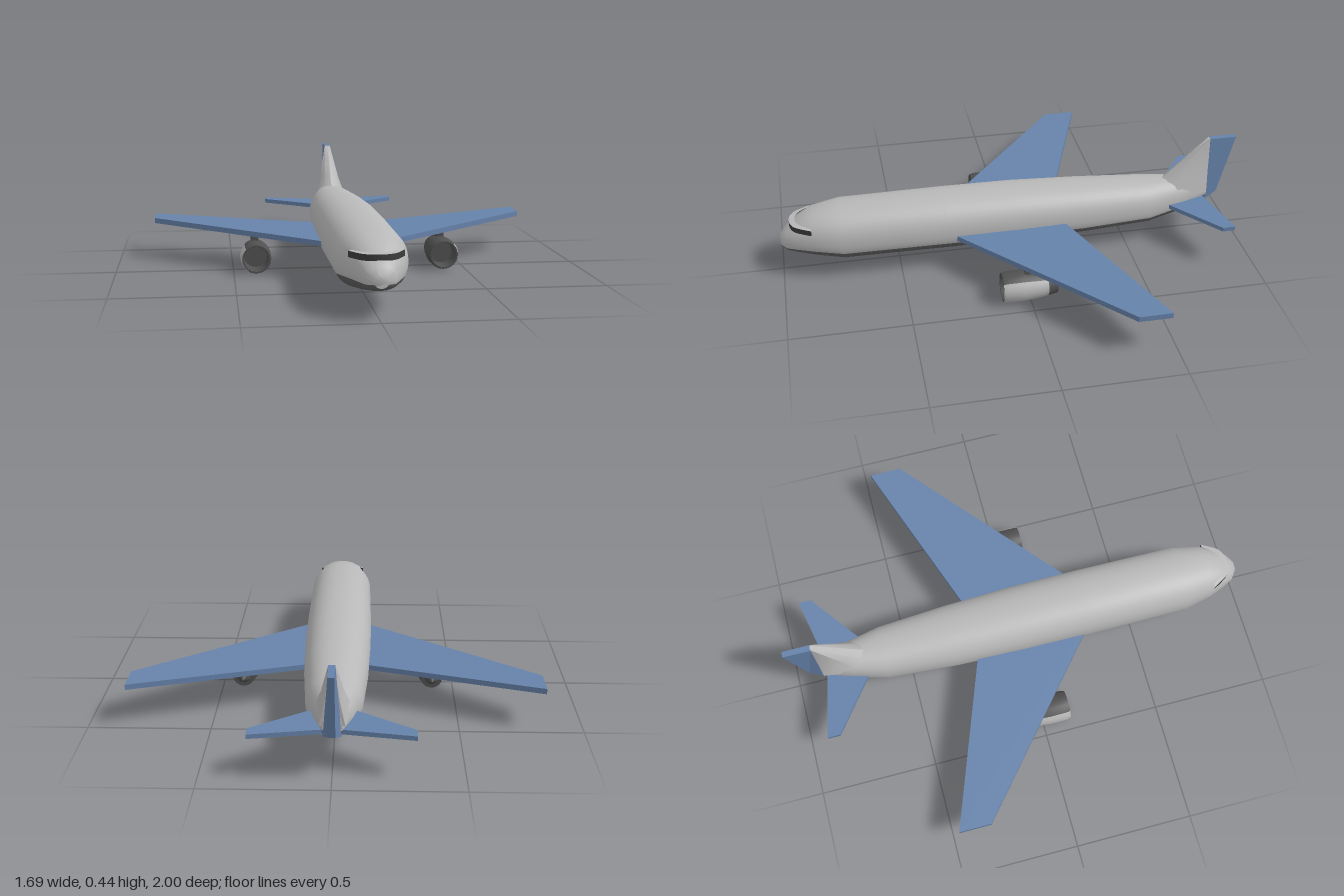
import * as THREE from 'three';
import { toCreasedNormals } from 'three/addons/utils/BufferGeometryUtils.js';

const mat = (name, color, side = THREE.FrontSide) => {
  const m = new THREE.MeshStandardMaterial({ color, side });
  m.name = name;
  return m;
};

// Skin a list of closed rings, counter-clockwise seen along the direction of travel, with flat ends.
// Ring edges under.from to under.to take the second material.
function loft(rings, crease, under) {
  const n = rings[0].length, pos = rings.flat(2), idx = [];
  for (let j = 0; j < n; j++) {
    for (let i = 0; i < rings.length - 1; i++) {
      const a = i * n + j, b = i * n + (j + 1) % n;
      idx.push(a, a + n, b, b, a + n, b + n);
    }
  }
  const last = (rings.length - 1) * n;
  for (let j = 1; j < n - 1; j++) {
    idx.push(0, j, j + 1, last, last + j + 1, last + j);
  }
  const raw = new THREE.BufferGeometry();
  raw.setAttribute('position', new THREE.Float32BufferAttribute(pos, 3));
  raw.setIndex(idx);
  const g = toCreasedNormals(raw, crease);
  if (under) {
    const strip = 6 * (rings.length - 1), start = under.from * strip, end = under.to * strip;
    if (start > 0) g.addGroup(0, start, 0);
    g.addGroup(start, end - start, 1);
    g.addGroup(end, idx.length - end, 0);
  }
  return g;
}

// Fuselage stations: z, half width, top, bottom
const STATIONS = [
  [1, 0.025, 0.178, 0.128], [0.975, 0.058, 0.205, 0.115], [0.93, 0.083, 0.246, 0.104],
  [0.86, 0.113, 0.283, 0.091], [0.74, 0.14, 0.303, 0.07], [0.3, 0.144, 0.305, 0.068],
  [0, 0.142, 0.303, 0.068], [-0.3, 0.133, 0.29, 0.07], [-0.6, 0.113, 0.272, 0.082],
  [-0.75, 0.076, 0.264, 0.108], [-0.875, 0.036, 0.255, 0.153],
];
const POWER = 2.3;
const midY = (top, bottom) => bottom + 0.42 * (top - bottom);

function fuselageRing([z, w, top, bottom]) {
  const mid = midY(top, bottom);
  const bend = (v) => Math.sign(v) * Math.abs(v) ** (2 / POWER);
  return Array.from({ length: 40 }, (_, j) => {
    const a = (j / 40) * Math.PI * 2, s = bend(Math.sin(a));
    return [w * bend(Math.cos(a)), mid + s * (s > 0 ? top - mid : mid - bottom), z];
  });
}

// Half width of the fuselage at a height and a length position
function halfWidth(y, z) {
  const i = STATIONS.findIndex((s) => s[0] <= z);
  const a = STATIONS[i - 1], b = STATIONS[i], t = (a[0] - z) / (a[0] - b[0]);
  const [, w, top, bottom] = a.map((v, k) => v + (b[k] - v) * t);
  const mid = midY(top, bottom);
  return w * Math.max(0, 1 - ((y - mid) / (top - mid)) ** POWER) ** (1 / POWER);
}

// Band round the nose; each row follows the body outline at one height and sits at another
function noseBand(rows) {
  const cols = 24, back = 0.865, pos = [], idx = [];
  for (const [outlineY, y] of rows) {
    let front = back;
    while (front < 0.995 && halfWidth(outlineY, front) > 0.002) front += 0.0005;
    for (let c = 0; c <= cols; c++) {
      const a = (c / cols) * Math.PI - Math.PI / 2;
      const z = back + (front - back) * Math.cos(a);
      const x = Math.abs(a) < 0.01 ? 0 : Math.sign(a) * (halfWidth(outlineY, z) + 0.003);
      pos.push(x, y, z + 0.003);
    }
  }
  for (let c = 0; c < cols; c++) {
    const b = c + cols + 1;
    idx.push(c, c + 1, b, b, c + 1, b + 1);
  }
  const g = new THREE.BufferGeometry();
  g.setAttribute('position', new THREE.Float32BufferAttribute(pos, 3));
  g.setIndex(idx);
  g.computeVertexNormals();
  return g;
}

// Swept plate between two stations: { x, lead, trail, top, bottom }
function plate(root, tip, side) {
  const ring = ({ x, lead, trail, top, bottom }) => [
    [side * x, bottom, trail], [side * x, bottom, lead], [side * x, top, lead], [side * x, top, trail],
  ];
  return loft(side > 0 ? [ring(root), ring(tip)] : [ring(tip), ring(root)], 0.3, { from: 0, to: 1 });
}

// Teardrop fin section: height, leading edge, trailing edge, half thickness
function finRing([y, lead, trail, w]) {
  const c = lead - trail;
  const half = [[0.6, 0.12], [1, 0.38], [0.65, 1]];
  const at = (s) => ([k, t]) => [s * k * w, y, lead - t * c];
  return [[0, y, lead], ...half.map(at(-1)), ...half.map(at(1)).reverse()];
}

// Turned engine shell along z; angles in degrees, 90 is +x and 180 is up
function turned(points, from = 0, sweep = 360) {
  const rad = THREE.MathUtils.degToRad;
  const profile = points.map(([r, z]) => new THREE.Vector2(r, z));
  const g = new THREE.LatheGeometry(profile, Math.ceil(sweep / 15), rad(from), rad(sweep));
  return toCreasedNormals(g.rotateX(Math.PI / 2), 0.7);
}

export function createModel() {
  const grey = mat('bodyGrey', 0xb8b8b8);
  const belly = mat('bellyGrey', 0x606060);
  const blue = mat('wingBlue', 0x6682aa);
  const navy = mat('undersideNavy', 0x334051);
  const dark = mat('engineDark', 0x505050);
  const glass = mat('windowDark', 0x3c3c3c, THREE.DoubleSide);
  const model = new THREE.Group();
  model.name = 'airliner';
  const add = (name, geometry, material, parent = model) => {
    const mesh = new THREE.Mesh(geometry, material);
    mesh.name = name;
    parent.add(mesh);
    return mesh;
  };

  // Body with darker belly, cockpit glass and the brow above it
  add('fuselage', loft(STATIONS.map(fuselageRing), 0.8, { from: 22, to: 38 }), [grey, belly]);
  add('windscreen', noseBand([[0.224, 0.219], [0.224, 0.243]]), glass);
  add('windscreenBrow', noseBand([[0.224, 0.243], [0.246, 0.246]]), grey);

  // Tail fin with rudder behind it
  add('tailFin', loft([
    [0.2, -0.6, -0.872, 0.075], [0.3, -0.716, -0.877, 0.044], [0.445, -0.876, -0.885, 0.013],
  ].map(finRing), 0.8), grey);
  add('rudder', loft([
    [[-0.035, 0.155, -0.87], [-0.014, 0.18, -0.93], [0.014, 0.18, -0.93], [0.035, 0.155, -0.87]],
    [[-0.013, 0.447, -0.884], [-0.012, 0.447, -1], [0.012, 0.447, -1], [0.013, 0.447, -0.884]],
  ], 0.3), blue);

  // Engine pieces: tail cone, cowl side, lip with hollow intake
  const tail = turned([[0, -0.16], [0.03, -0.11], [0.046, -0.11], [0.0535, -0.07]]);
  const cowl = [[0.0535, -0.07], [0.059, -0.04], [0.066, 0.03], [0.065, 0.1], [0.06, 0.118]];
  const intake = turned([[0.06, 0.118], [0.054, 0.118], [0.05, 0.1], [0.05, 0.03], [0, 0.03]]);

  for (const [label, side] of [['left', 1], ['right', -1]]) {
    add(label + 'Wing', plate(
      { x: 0, lead: 0.384, trail: -0.165, top: 0.165, bottom: 0.143 },
      { x: 0.845, lead: -0.335, trail: -0.472, top: 0.18, bottom: 0.157 }, side), [blue, navy]);
    add(label + 'Tailplane', plate(
      { x: 0, lead: -0.622, trail: -0.85, top: 0.177, bottom: 0.158 },
      { x: 0.315, lead: -0.86, trail: -0.914, top: 0.181, bottom: 0.163 }, side), [blue, navy]);

    const engine = new THREE.Group();
    engine.name = label + 'Engine';
    engine.position.set(side * 0.405, 0.068, 0);
    model.add(engine);
    const start = side > 0 ? 30 : 225;
    add('outerCowl', turned(cowl, start, 105), grey, engine);
    add('innerCowl', turned(cowl, start + 105, 255), dark, engine);
    add('tailCone', tail, dark, engine);
    add('intake', intake, dark, engine);
    const pylon = add('pylon', new THREE.BoxGeometry(0.03, 0.045, 0.13), dark, engine);
    pylon.position.set(0, 0.068, -0.04);
  }
  return model;
}
